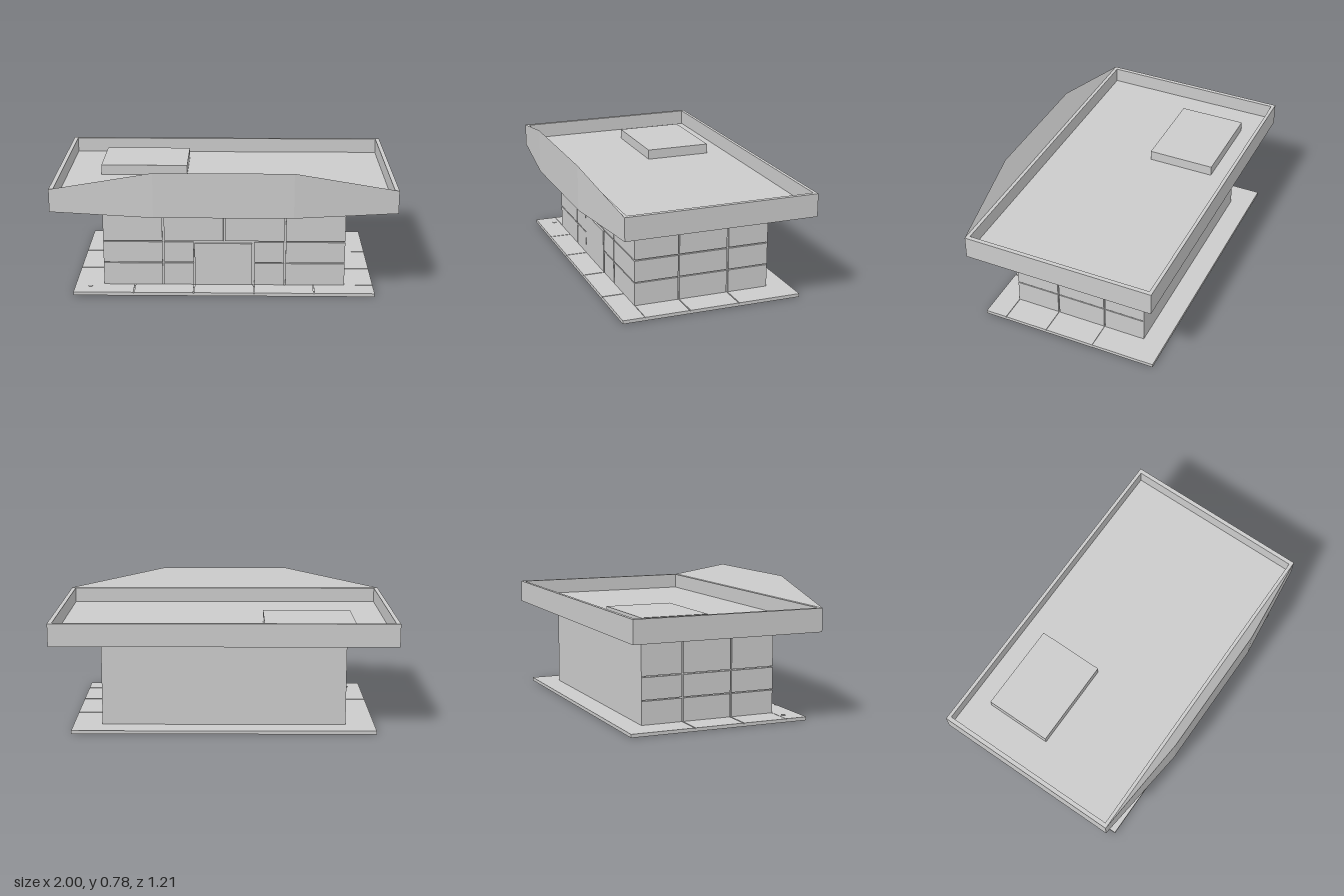
import * as THREE from 'three';
import { ConvexGeometry } from 'three/addons/geometries/ConvexGeometry.js';

export function createModel() {
  const root = new THREE.Group();
  root.name = 'flatRoofShop';
  const mat = new THREE.MeshStandardMaterial({ color: 0xcccccc, flatShading: true });

  const add = (name, geo, parent = root) => {
    const mesh = new THREE.Mesh(geo, mat);
    mesh.name = name;
    parent.add(mesh);
    return mesh;
  };
  // Box given by its minimum and maximum on each axis
  const box = (name, x0, x1, y0, y1, z0, z1, parent) => {
    const mesh = add(name, new THREE.BoxGeometry(x1 - x0, y1 - y0, z1 - z0), parent);
    mesh.position.set((x0 + x1) / 2, (y0 + y1) / 2, (z0 + z1) / 2);
    return mesh;
  };
  const group = (name) => {
    const g = new THREE.Group();
    g.name = name;
    root.add(g);
    return g;
  };

  // Pavement slab with jointed tiles
  const pavement = group('pavement');
  box('slab', -0.885, 0.885, 0, 0.015, -0.57, 0.51, pavement);
  const gap = 0.003;
  const tileX = [-0.885, -0.53, -0.177, 0.177, 0.53, 0.885];
  for (let i = 0; i < 5; i++) {
    const a = tileX[i] + (i > 0 ? gap : 0), b = tileX[i + 1] - (i < 4 ? gap : 0);
    box('frontTile', a, b, 0.015, 0.02, 0.38, 0.51, pavement);
  }
  const tileZ = [-0.57, -0.19, 0.11, 0.38];
  for (const s of [-1, 1]) {
    for (let i = 0; i < 3; i++) {
      const xs = [s * 0.71, s * 0.885].sort((a, b) => a - b);
      box('sideTile', xs[0], xs[1], 0.015, 0.02, tileZ[i] + (i > 0 ? gap : 0), tileZ[i + 1] - gap, pavement);
    }
  }
  box('rearTile', -0.71, 0.71, 0.015, 0.02, -0.57, -0.43, pavement);
  const cover = add('drainCover', new THREE.CylinderGeometry(0.014, 0.014, 0.004, 16), pavement);
  cover.position.set(-0.795, 0.021, 0.41);

  // Building core and plain rear wall
  box('wallCore', -0.705, 0.705, 0.015, 0.525, -0.435, 0.37);
  box('rearWall', -0.715, 0.715, 0.015, 0.525, -0.44, -0.435);

  // Glazing panels, three rows high
  const rows = [[0.02, 0.155], [0.161, 0.289], [0.296, 0.522]];
  const sideCols = [[-0.436, -0.195], [-0.184, 0.108], [0.116, 0.375]];
  const glazing = group('glazing');
  for (const [y0, y1] of rows) {
    for (const [z0, z1] of sideCols) {
      box('rightPane', 0.7, 0.715, y0, y1, z0, z1, glazing);
      box('leftPane', -0.715, -0.7, y0, y1, z0, z1, glazing);
    }
  }
  const lowerCols = [[0.18, 0.355], [0.365, 0.715]];
  const topCols = [[0.005, 0.355], [0.365, 0.715]];
  rows.forEach(([y0, y1], r) => {
    for (const [a, b] of r === 2 ? topCols : lowerCols) {
      box('frontPane', a, b, y0, y1, 0.365, 0.38, glazing);
      box('frontPane', -b, -a, y0, y1, 0.365, 0.38, glazing);
    }
  });
  box('door', -0.174, 0.166, 0.02, 0.28, 0.365, 0.381);

  // Roof: parapet ring around a sunken deck
  const ring = new THREE.Shape([[-1, -0.535], [1, -0.535], [1, 0.603], [-1, 0.603]].map(p => new THREE.Vector2(...p)));
  ring.holes.push(new THREE.Path(
    [[-0.975, -0.515], [-0.975, 0.583], [0.975, 0.583], [0.975, -0.515]].map(p => new THREE.Vector2(...p))));
  const parapet = add('parapet', new THREE.ExtrudeGeometry(ring, { depth: 0.135, bevelEnabled: false }));
  parapet.rotation.x = -Math.PI / 2;
  parapet.position.y = 0.525;
  box('roofDeck', -0.975, 0.975, 0.525, 0.57, -0.583, 0.515);
  box('roofUnit', -0.765, -0.235, 0.57, 0.63, -0.46, -0.06);

  // Faceted fascia rising towards the middle of the front
  const points = [];
  for (const s of [-1, 1]) {
    points.push(
      new THREE.Vector3(s, 0.525, 0.535), new THREE.Vector3(s, 0.66, 0.535),
      new THREE.Vector3(s * 0.4, 0.515, 0.603), new THREE.Vector3(s * 0.4, 0.78, 0.603));
  }
  add('frontFascia', new ConvexGeometry(points));

  return root;
}
